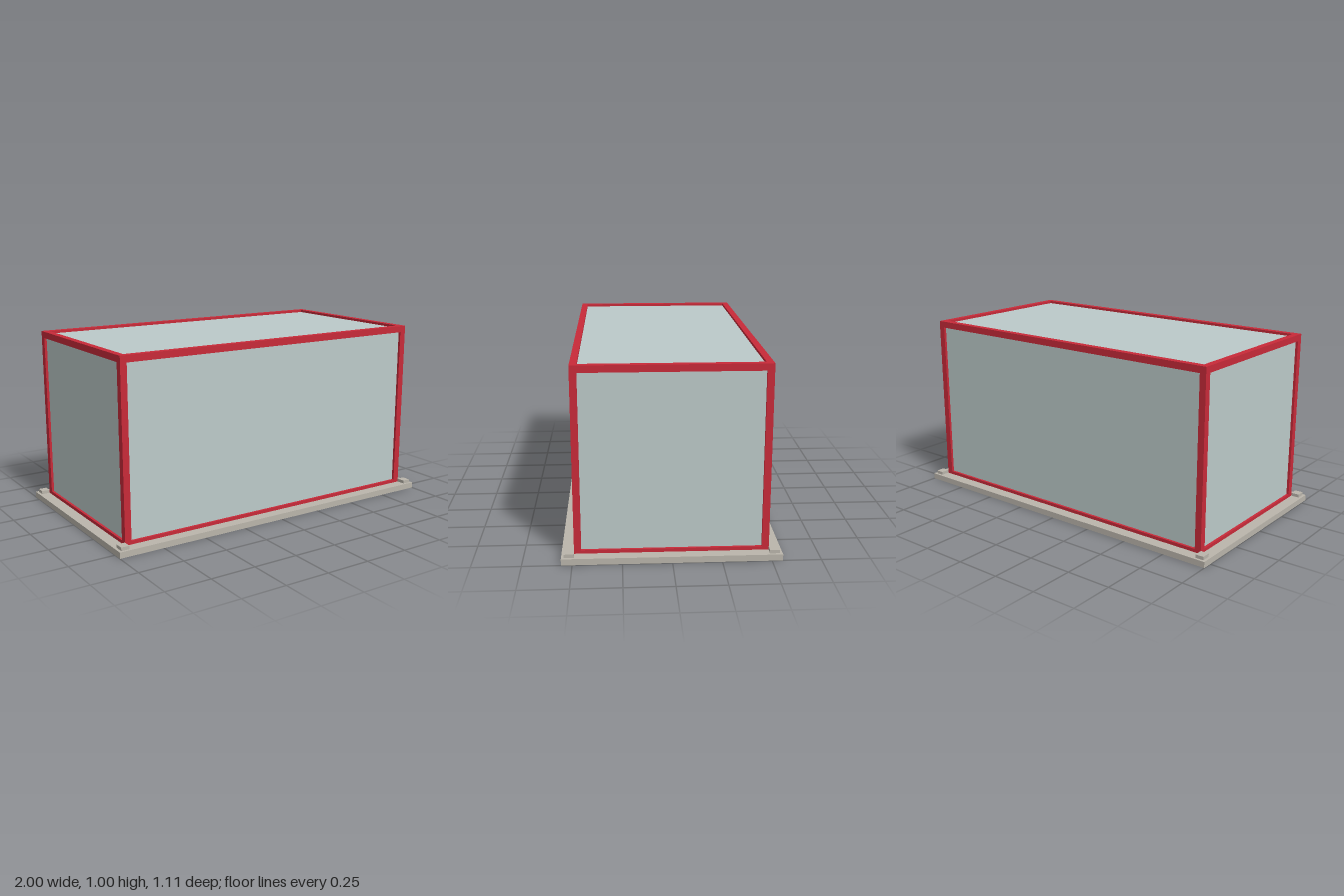
import * as THREE from 'three';

const material = (name, color) => {
  const m = new THREE.MeshStandardMaterial({ color });
  m.name = name;
  return m;
};

export function createModel() {
  const model = new THREE.Group();
  model.name = 'glassPavilion';
  const concrete = material('concrete', 0xbab5ab);
  const red = material('red frame paint', 0xc82a39);
  const glass = material('pale glass', 0xbccac9);

  const box = (name, mat, size, pos) => {
    const mesh = new THREE.Mesh(new THREE.BoxGeometry(...size), mat);
    mesh.name = name;
    mesh.position.set(...pos);
    model.add(mesh);
  };

  // Frame centre lines and bar thickness
  const bar = 0.036, X = 0.92, Z = 0.474, low = 0.033, high = 0.982;
  const midY = (low + high) / 2, tall = high - low;
  const pane = 0.008;

  // Base slab
  box('baseSlab', concrete, [2, 0.033, 1.11], [0, 0.0165, 0]);

  for (const sx of [-1, 1]) {
    for (const sz of [-1, 1]) {
      // Corner posts and small foot pads
      box('cornerPost', red, [bar, tall - bar, bar], [sx * X, midY, sz * Z]);
      box('footPad', concrete, [0.046, 0.018, 0.05], [sx * 0.962, 0.042, sz * 0.516]);
    }
  }

  // Long and short rails, bottom and top
  for (const y of [low, high]) {
    for (const s of [-1, 1]) {
      box('longRail', red, [2 * X + bar, bar, bar], [0, y, s * Z]);
      box('shortRail', red, [bar, bar, 2 * Z - bar], [s * X, y, 0]);
    }
  }

  // Glass walls and roof, set on the frame's centre lines
  for (const s of [-1, 1]) {
    box('longGlassWall', glass, [2 * X - bar, tall - bar, pane], [0, midY, s * Z]);
    box('endGlassWall', glass, [pane, tall - bar, 2 * Z - bar], [s * X, midY, 0]);
  }
  box('glassRoof', glass, [2 * X - bar, pane, 2 * Z - bar], [0, high, 0]);

  return model;
}
